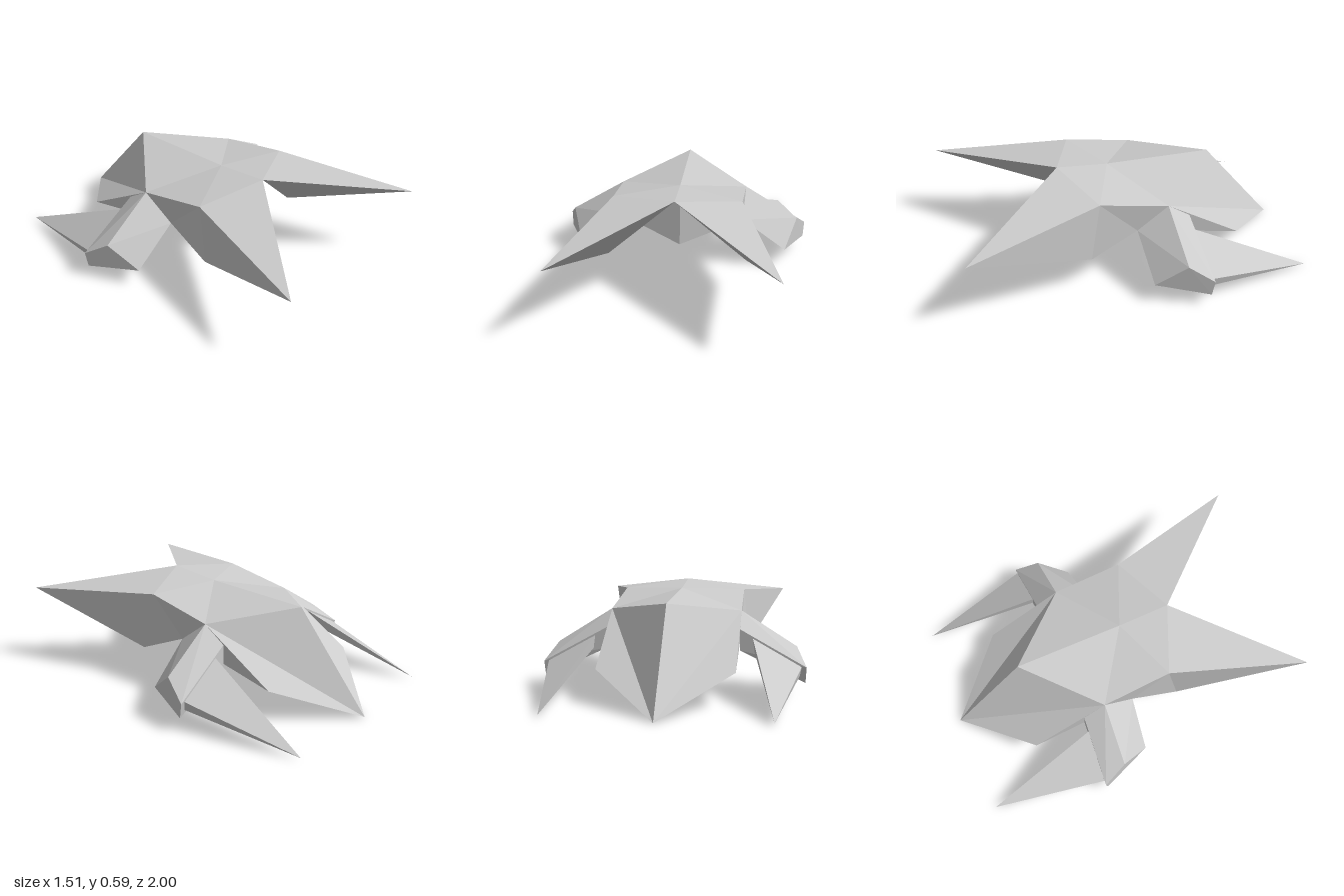
import * as THREE from 'three';
import { ConvexGeometry } from 'three/addons/geometries/ConvexGeometry.js';

const material = new THREE.MeshStandardMaterial({
  color: 0xcccccc, flatShading: true, side: THREE.DoubleSide,
});

// Key points of the left half; the right half mirrors them in x.
const P = {
  tail: [0, 0, -1],
  hump: [0, 0.54, -0.56],
  centre: [0, 0.56, 0.07],
  peak: [0, 0.59, 0.37],
  chin: [0, 0.19, 0.11],
  flank: [0.38, 0.46, -0.18],
  hip: [0.38, 0.185, -0.62],
  armpit: [0.37, 0.32, 0],
  shoulder: [0.37, 0.54, 0.22],
  prongTip: [0.6, 0.47, 1],
  prongKeel: [0.4, 0.2, 0.28],
};

// Flat-shaded panels between named points; s = -1 mirrors and keeps them facing outward.
function panels(name, faces, s) {
  const position = [];
  for (const face of faces) {
    const corners = face.split(' ');
    if (s < 0) corners.reverse();
    for (const c of corners) position.push(P[c][0] * s, P[c][1], P[c][2]);
  }
  const geometry = new THREE.BufferGeometry();
  geometry.setAttribute('position', new THREE.Float32BufferAttribute(position, 3));
  geometry.computeVertexNormals();
  const mesh = new THREE.Mesh(geometry, material);
  mesh.name = name;
  return mesh;
}

// Faceted solid around a few corner points.
function solid(name, points, s) {
  const corners = points.map(([x, y, z]) => new THREE.Vector3(x * s, y, z));
  const mesh = new THREE.Mesh(new ConvexGeometry(corners), material);
  mesh.name = name;
  return mesh;
}

export function createModel() {
  const model = new THREE.Group();
  model.name = 'craft';

  for (const [side, s] of [['left', 1], ['right', -1]]) {
    const half = new THREE.Group();
    half.name = `${side}Half`;

    // Canopy running from the front peak to the rear hump
    half.add(panels('canopy', [
      'centre peak shoulder', 'centre shoulder flank', 'centre flank hump',
    ], s));

    // Hull: sloping tail, side wall, underside and front wall
    half.add(panels('hull', [
      'hump flank tail', 'tail flank hip', 'flank armpit hip',
      'chin tail hip', 'chin hip armpit', 'chin armpit centre',
    ], s));

    // Forward prong: top, outer side, inner front and underside
    half.add(panels('frontProng', [
      'peak prongTip shoulder', 'shoulder prongTip prongKeel',
      'shoulder prongKeel armpit', 'shoulder armpit flank',
      'peak prongKeel prongTip', 'peak centre armpit', 'peak armpit prongKeel',
    ], s));

    // Slanting arm, from its root on the hull to its outer end
    half.add(solid('arm', [
      P.flank, P.armpit, [0.38, 0.37, -0.31], [0.38, 0.25, -0.31],
      [0.7, 0.26, -0.19], [0.63, 0.12, -0.02], [0.755, 0.165, -0.33], [0.75, 0.075, -0.315],
    ], s));

    // Blade tapering backward from the arm
    half.add(solid('rearBlade', [
      [0.45, 0.325, -0.3], [0.73, 0.17, -0.315], [0.72, 0.115, -0.305], [0.46, 0.25, -0.3],
      [0.595, 0.015, -0.98],
    ], s));

    model.add(half);
  }
  return model;
}
